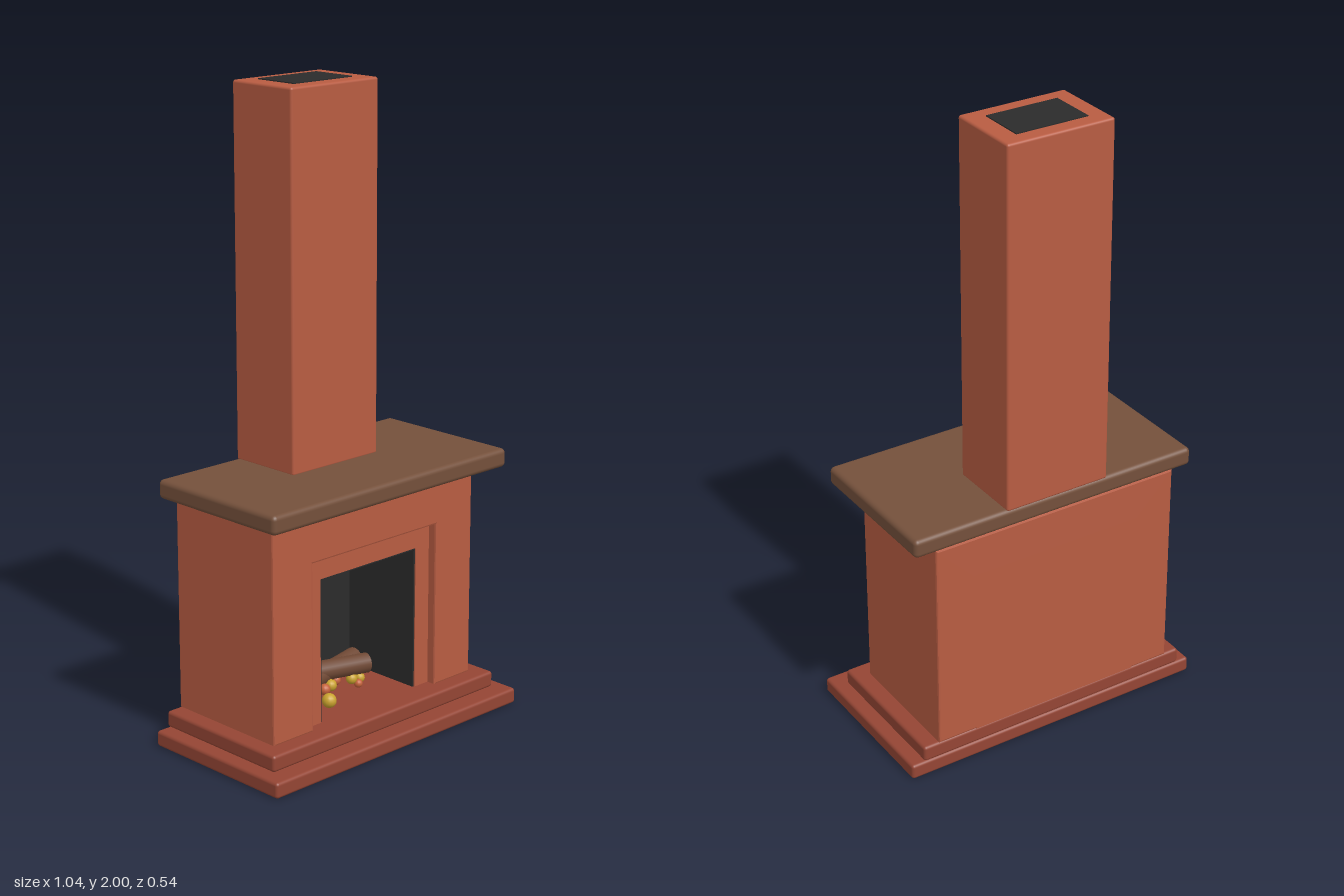
import * as THREE from 'three';
import { RoundedBoxGeometry } from 'three/addons/geometries/RoundedBoxGeometry.js';

const mat = (name, color) => {
  const m = new THREE.MeshStandardMaterial({ color });
  m.name = name;
  return m;
};

export function createModel() {
  const brick = mat('brick', 0xb85c42);
  const darkBrick = mat('dark brick', 0x944534);
  const wood = mat('mantel wood', 0x74503b);
  const soot = mat('soot', 0x2b2b2b);
  const bark = mat('log bark', 0x6f4834);
  const yellow = mat('yellow ember', 0xc9a22e);
  const orange = mat('orange ember', 0xc4623a);

  const group = new THREE.Group();
  group.name = 'fireplace';
  const add = (name, geo, material, x = 0, y = 0, z = 0) => {
    const mesh = new THREE.Mesh(geo, material);
    mesh.name = name;
    mesh.position.set(x, y, z);
    group.add(mesh);
    return mesh;
  };

  // Box given by half width and its y and z limits, with softened edges when r > 0
  const block = (name, material, hw, y0, y1, z0, z1, r = 0, x = 0) => {
    const size = [2 * hw, y1 - y0, z1 - z0];
    const geo = r > 0 ? new RoundedBoxGeometry(...size, 3, r) : new THREE.BoxGeometry(...size);
    return add(name, geo, material, x, (y0 + y1) / 2, (z0 + z1) / 2);
  };

  // Doorway-shaped surround standing on the hearth, open at the bottom
  const arch = (name, hwOut, top, hwIn, topIn, z0, z1, bevel) => {
    const y = 0.1;
    const shape = new THREE.Shape([
      [-hwOut, y], [-hwIn, y], [-hwIn, topIn], [hwIn, topIn],
      [hwIn, y], [hwOut, y], [hwOut, top], [-hwOut, top],
    ].map((p) => new THREE.Vector2(...p)));
    const geo = new THREE.ExtrudeGeometry(shape, {
      depth: z1 - z0 - 2 * bevel, bevelEnabled: bevel > 0, bevelThickness: bevel,
      bevelSize: bevel, bevelOffset: -bevel, bevelSegments: 2,
    });
    return add(name, geo, brick, 0, 0, z0 + bevel);
  };

  // Stepped hearth
  block('lowerHearth', darkBrick, 0.518, 0, 0.05, -0.27, 0.27, 0.01);
  block('upperHearth', darkBrick, 0.475, 0.05, 0.102, -0.27, 0.21, 0.01);

  // Body, recessed inner frame and back wall
  arch('surround', 0.422, 0.79, 0.262, 0.63, -0.27, 0.155, 0.006);
  arch('innerFrame', 0.264, 0.632, 0.203, 0.56, -0.17, 0.125, 0);
  block('backWall', brick, 0.29, 0.1, 0.66, -0.27, -0.165);

  // Sooty firebox lining
  block('fireboxBack', soot, 0.203, 0.1, 0.56, -0.166, -0.16);
  block('fireboxTop', soot, 0.203, 0.555, 0.561, -0.165, 0.122);
  for (const s of [-1, 1]) block('fireboxSide', soot, 0.003, 0.1, 0.56, -0.165, 0.122, 0, s * 0.201);

  // Mantel shelf, chimney and flue
  block('mantel', wood, 0.491, 0.785, 0.845, -0.27, 0.236, 0.015);
  block('chimney', brick, 0.177, 0.84, 1.997, -0.27, -0.018, 0.008);
  block('flue', soot, 0.118, 1.992, 2, -0.222, -0.07);

  // Logs laid between two end points
  const log = (a, b, r) => {
    const from = new THREE.Vector3(...a), to = new THREE.Vector3(...b);
    const dir = to.clone().sub(from);
    const mesh = add('log', new THREE.CylinderGeometry(r, r, dir.length(), 16), bark);
    mesh.position.copy(from).add(to).multiplyScalar(0.5);
    mesh.quaternion.setFromUnitVectors(new THREE.Vector3(0, 1, 0), dir.normalize());
  };
  log([-0.115, 0.185, -0.045], [0.115, 0.172, 0], 0.032);
  log([-0.11, 0.165, -0.02], [0.12, 0.175, -0.06], 0.03);

  // Embers: x, y, z, radius, material
  for (const [x, y, z, r, m] of [
    [-0.1, 0.123, 0.055, 0.023, yellow], [-0.14, 0.128, 0.01, 0.018, orange],
    [-0.085, 0.145, 0.02, 0.018, orange], [-0.04, 0.14, 0.0, 0.019, yellow],
    [0.05, 0.137, 0.0, 0.018, yellow], [0.095, 0.125, -0.01, 0.017, yellow],
    [0.07, 0.118, 0.01, 0.014, orange], [-0.06, 0.115, -0.04, 0.015, orange],
    [0.02, 0.128, -0.04, 0.016, orange],
  ]) add('ember', new THREE.SphereGeometry(r, 14, 10), m, x, y, z);

  return group;
}
